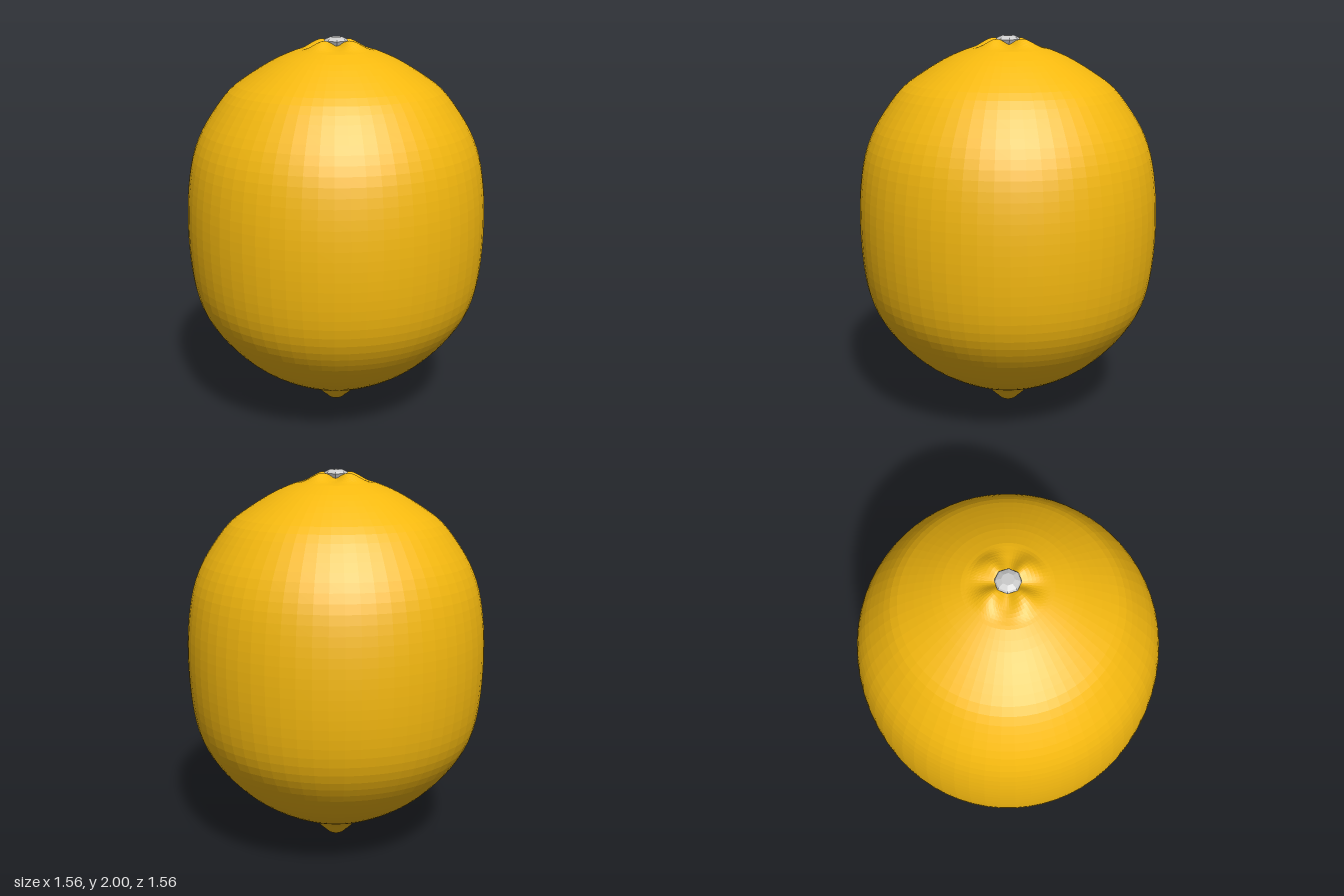
import * as THREE from 'three';

const spline = (pts, n) =>
  new THREE.SplineCurve(pts.map(([r, y]) => new THREE.Vector2(r, y)))
    .getSpacedPoints(n)
    .map((p) => new THREE.Vector2(Math.max(p.x, 0), p.y));

export function createModel() {
  const group = new THREE.Group();
  group.name = 'lemon';

  // Fruit: pointed tip, full belly, round shoulder
  const body = spline([
    [0, 0], [0.03, 0.013], [0.08, 0.057], [0.12, 0.098], [0.17, 0.13],
    [0.33, 0.205], [0.47, 0.295], [0.59, 0.41], [0.68, 0.53], [0.735, 0.65],
    [0.765, 0.8], [0.778, 1.0], [0.772, 1.2], [0.745, 1.38], [0.7, 1.51],
    [0.635, 1.62], [0.55, 1.73], [0.46, 1.8], [0.32, 1.885], [0.21, 1.932],
  ], 52);
  // Collar around the stem, ending in a shallow dimple
  const collar = spline([
    [0.21, 1.932], [0.18, 1.941], [0.14, 1.957], [0.1, 1.967],
    [0.06, 1.967], [0, 1.955],
  ], 12).slice(1);

  const skin = new THREE.LatheGeometry([...body, ...collar], 64);

  // Raise four soft lobes on the collar
  const pos = skin.attributes.position;
  for (let i = 0; i < pos.count; i++) {
    const x = pos.getX(i), y = pos.getY(i), z = pos.getZ(i);
    const r = Math.hypot(x, z);
    if (y < 1.5 || r > 0.21) continue;
    const swell = Math.sin(Math.PI * Math.min(1, r / 0.21)) ** 2;
    pos.setY(i, y + 0.018 * swell * Math.cos(4 * Math.atan2(x, z)));
  }
  skin.computeVertexNormals();

  const fruit = new THREE.Mesh(skin, new THREE.MeshStandardMaterial({ color: 0xf5b90f, flatShading: true }));
  fruit.name = 'fruit';
  group.add(fruit);

  // Eight-sided stem button
  const stem = new THREE.Mesh(
    new THREE.LatheGeometry([
      [0, 1.94], [0.045, 1.945], [0.062, 1.98], [0.055, 1.989], [0.03, 2.0], [0, 2.0],
    ].map(([r, y]) => new THREE.Vector2(r, y)), 8),
    new THREE.MeshStandardMaterial({ color: 0xcccccc, flatShading: true }));
  stem.name = 'stemButton';
  group.add(stem);

  return group;
}
